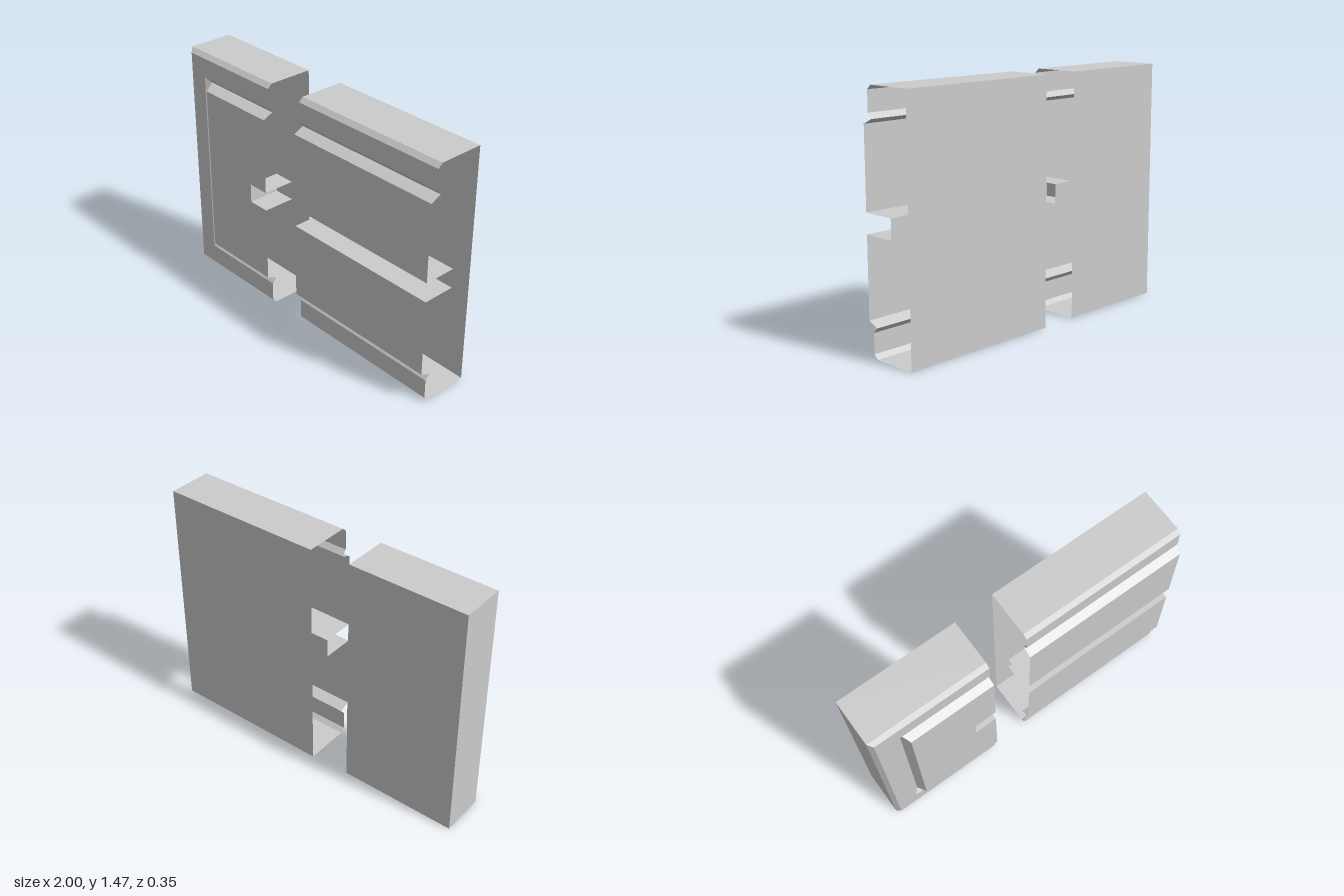
import * as THREE from 'three';

const H = 1.473;                      // panel height
const NOTCH = { y0: 0.68, y1: 0.798, depth: 0.2, x: -0.406 };
const BACK = -0.163, FRONT = 0.176;   // back and raised field of the end panel
// moulding profile: [inset from the outer edge, z]
const PROFILE = [[0, BACK], [0, 0.113], [0.025, 0.14], [0.145, 0.14], [0.176, 0.113], [0.206, FRONT]];

const material = new THREE.MeshStandardMaterial({
  color: 0xcccccc, flatShading: true, side: THREE.DoubleSide,
});

// flat-faced skin between successive rows of points
function loft(name, rows) {
  const pos = [];
  for (let i = 0; i < rows.length - 1; i++) {
    for (let j = 0; j < rows[i].length - 1; j++) {
      const a = rows[i][j], b = rows[i + 1][j], c = rows[i + 1][j + 1], d = rows[i][j + 1];
      pos.push(...a, ...b, ...c, ...a, ...c, ...d);
    }
  }
  const geo = new THREE.BufferGeometry();
  geo.setAttribute('position', new THREE.Float32BufferAttribute(pos, 3));
  geo.computeVertexNormals();
  const mesh = new THREE.Mesh(geo, material);
  mesh.name = name;
  return mesh;
}

// end panel: moulding mitred round three sides, open at the cut edge
function endPanel() {
  const group = new THREE.Group();
  group.name = 'endPanel';
  const xe = -0.267, { y0, y1, x: nx } = NOTCH, zn = FRONT - NOTCH.depth;

  const rows = PROFILE.map(([d, z]) => [
    [xe, d, z], [-1 + d, d, z], [-1 + d, H - d, z], [xe, H - d, z],
  ]);
  group.add(loft('endMoulding', rows));
  group.add(loft('endBack', [
    [[-1, 0, BACK], [xe, 0, BACK]],
    [[-1, H, BACK], [xe, H, BACK]],
  ]));

  // raised field with the notch cut in from the open edge
  const d = PROFILE[PROFILE.length - 1][0];
  const outline = [
    [-1 + d, d], [xe, d], [xe, y0], [nx, y0], [nx, y1], [xe, y1], [xe, H - d], [-1 + d, H - d],
  ].map(([x, y]) => new THREE.Vector2(x, y));
  const field = new THREE.Mesh(new THREE.ShapeGeometry(new THREE.Shape(outline)), material);
  field.position.z = FRONT;
  field.name = 'endRaisedField';
  group.add(field);

  // notch walls and back
  group.add(loft('endNotchWalls', [FRONT, zn].map((z) => [
    [xe, y0, z], [nx, y0, z], [nx, y1, z], [xe, y1, z],
  ])));
  group.add(loft('endNotchBack', [nx, xe].map((x) => [[x, y0, zn], [x, y1, zn]])));
  return group;
}

// middle panel: the same section run straight through, open at both ends
function middlePanel() {
  const { y0, y1, depth } = NOTCH;
  const section = [
    ...PROFILE,
    [y0, FRONT], [y0, FRONT - depth], [y1, FRONT - depth], [y1, FRONT],
    ...[...PROFILE].reverse().map(([d, z]) => [H - d, z]),
    PROFILE[0],
  ];
  const mesh = loft('middlePanel', [-0.021, 1].map((x) => section.map(([y, z]) => [x, y, z])));
  mesh.position.z = -0.013;
  return mesh;
}

export function createModel() {
  const model = new THREE.Group();
  model.name = 'panelSet';
  model.add(endPanel(), middlePanel());
  return model;
}
